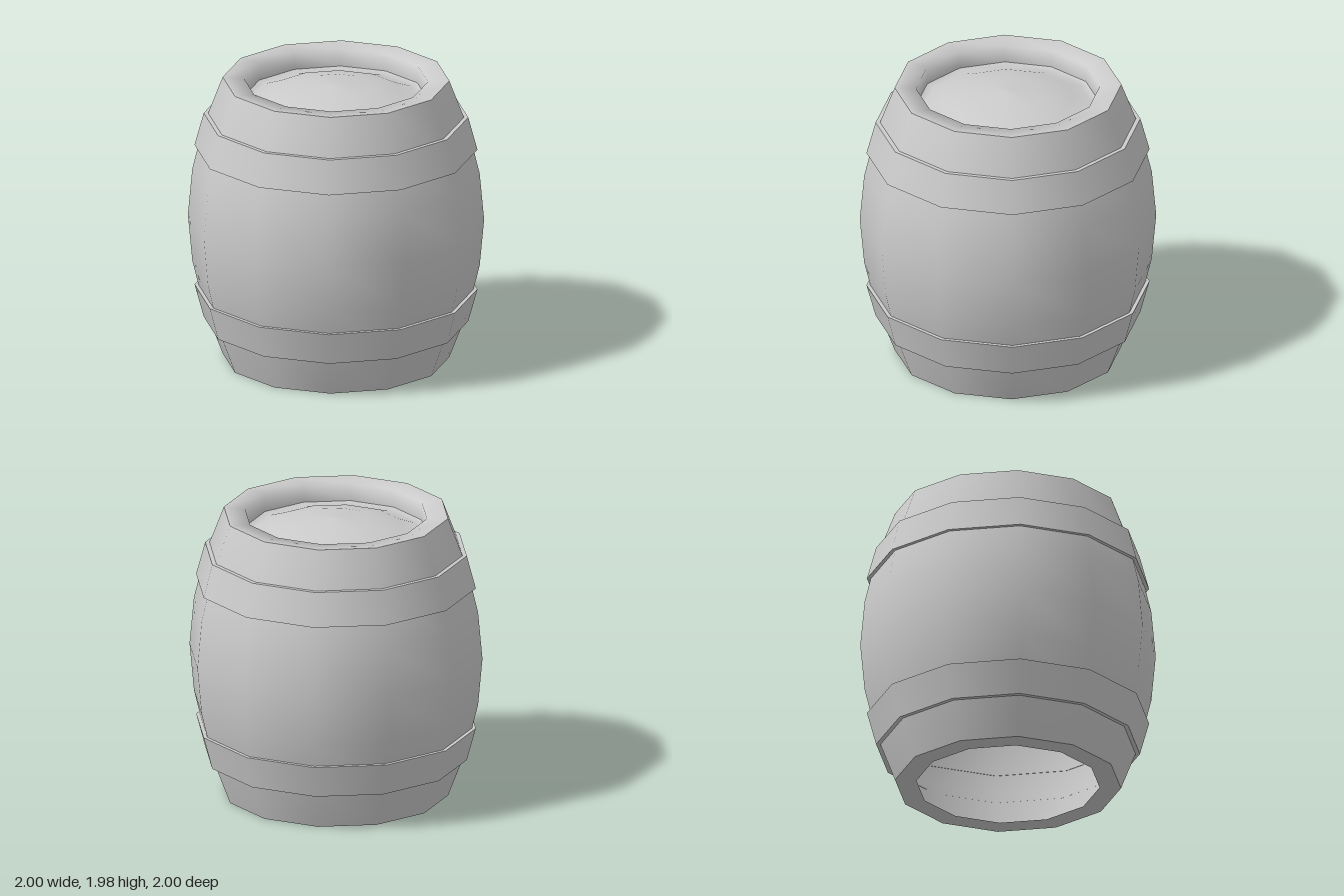
import * as THREE from 'three';

const SIDES = 12;
const HEIGHT = 1.98;
const material = new THREE.MeshStandardMaterial({ color: 0xcccccc, side: THREE.DoubleSide });

// Twelve-sided surface turned from [radius, y] points; smooth along its profile
function turned(name, profile) {
  const points = profile.map(([r, y]) => new THREE.Vector2(r, y));
  const mesh = new THREE.Mesh(new THREE.LatheGeometry(points, SIDES), material);
  mesh.name = name;
  return mesh;
}

// Hoop following the bulge: sloped outer face plus flat edges meeting the staves
function hoop(name, y0, r0, y1, r1) {
  const depth = 0.03;
  const group = new THREE.Group();
  group.name = name;
  group.add(
    turned('hoopFace', [[r0, y0], [r1, y1]]),
    turned('hoopTopEdge', [[r1, y1], [r1 - depth, y1]]),
    turned('hoopBottomEdge', [[r0 - depth, y0], [r0, y0]])
  );
  return group;
}

export function createModel() {
  const barrel = new THREE.Group();
  barrel.name = 'barrel';

  // Bulging wall, seen from outside and through the open bottom
  barrel.add(turned('staves', [
    [0.765, 0], [0.89, 0.33], [0.97, 0.66], [1, 0.99],
    [0.97, 1.32], [0.89, 1.65], [0.765, HEIGHT]
  ]));

  // Top rim rolling into the recess, and the sunken, gently domed lid
  barrel.add(turned('topRim', [[0.765, HEIGHT], [0.62, 1.97], [0.617, 1.85]]));
  barrel.add(turned('lid', [
    [0.617, 1.85], [0.57, 1.835], [0.45, 1.88], [0.25, 1.925], [0, 1.945]
  ]));

  // Flat rim around the open bottom
  barrel.add(turned('bottomRim', [[0.62, 0], [0.765, 0]]));

  // Mirrored pair of hoops
  barrel.add(hoop('upperHoop', 1.49, 0.955, 1.72, 0.893));
  barrel.add(hoop('lowerHoop', HEIGHT - 1.72, 0.893, HEIGHT - 1.49, 0.955));

  return barrel;
}
